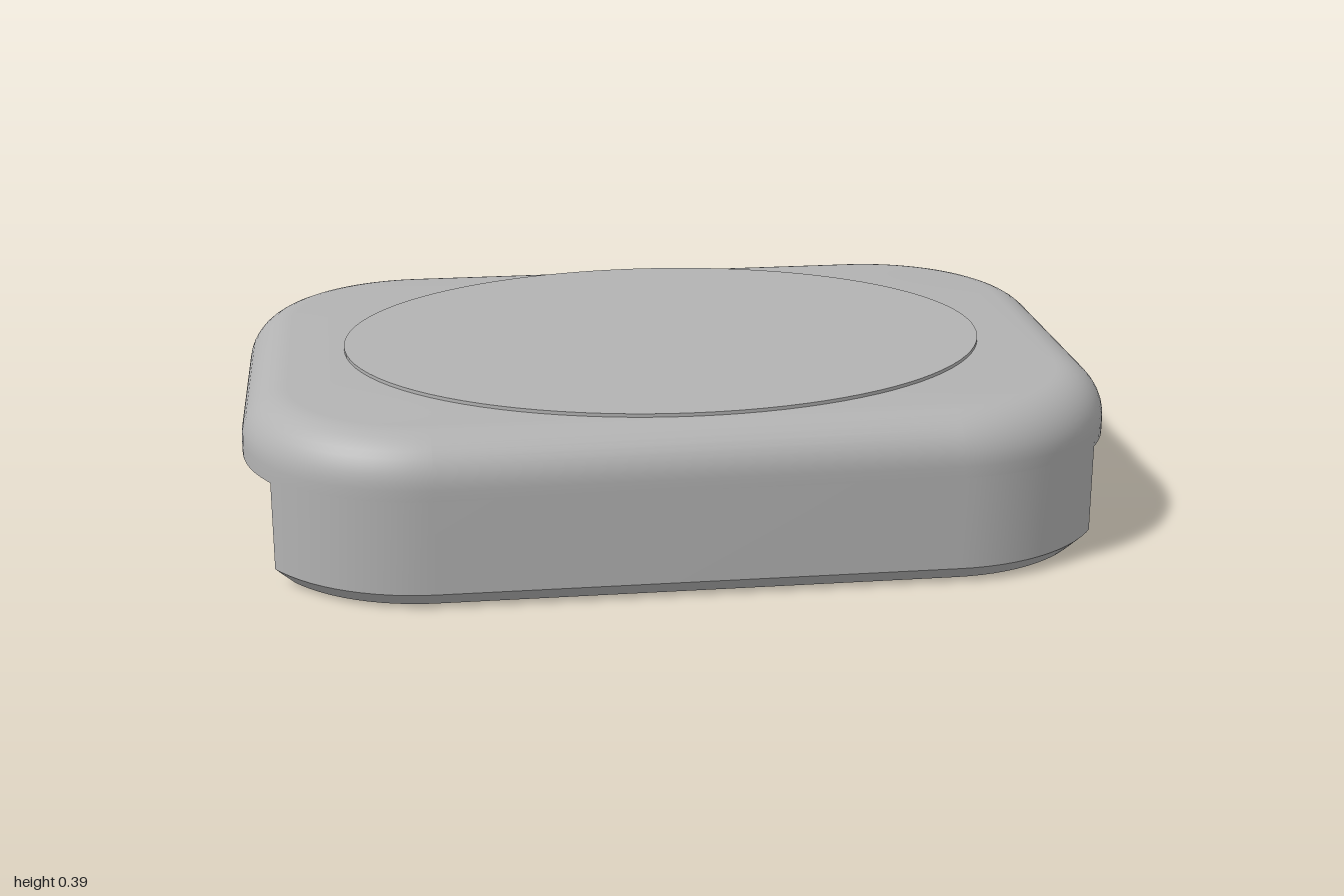
import * as THREE from 'three';
import { toCreasedNormals } from 'three/addons/utils/BufferGeometryUtils.js';

const STRAIGHT_X = 0.58, STRAIGHT_Z = 0.27, RADIUS = 0.42, STEPS = 20;

// Half width of the rounded outline at depth z, shrunk by inset
function halfWidth(z, inset) {
  const r = RADIUS - inset;
  const d = Math.max(0, Math.abs(z) - STRAIGHT_Z);
  return STRAIGHT_X + Math.sqrt(Math.max(0, r * r - d * d));
}

// Closed loop around the outline, cut off at zMin and zMax
function outline(y, inset, zMin, zMax) {
  const right = [];
  for (const s of [-1, 1]) {
    for (let i = 0; i <= STEPS; i++) {
      const a = (s < 0 ? STEPS - i : i) / STEPS * Math.PI / 2;
      const raw = s * (STRAIGHT_Z + (RADIUS - inset) * Math.sin(a));
      const z = Math.min(zMax, Math.max(zMin, raw));
      right.push(new THREE.Vector3(halfWidth(z, inset), y, z));
    }
  }
  const left = right.map(p => new THREE.Vector3(-p.x, p.y, p.z)).reverse();
  return right.concat(left);
}

// Solid through a stack of [height, inset] levels
function loft(levels, zMin = -1, zMax = 1) {
  const loops = levels.map(([y, inset]) => outline(y, inset, zMin, zMax));
  const pos = [], n = loops[0].length;
  const tri = (a, b, c) => {
    const area = b.clone().sub(a).cross(c.clone().sub(a)).length();
    if (area > 1e-9) for (const p of [a, b, c]) pos.push(p.x, p.y, p.z);
  };
  for (let k = 0; k + 1 < loops.length; k++) {
    const lo = loops[k], hi = loops[k + 1];
    for (let i = 0; i < n; i++) {
      const j = (i + 1) % n;
      tri(lo[i], hi[i], lo[j]);
      tri(lo[j], hi[i], hi[j]);
    }
  }
  const bottom = loops[0], top = loops[loops.length - 1];
  for (let i = 0; i + 1 < n / 2; i++) {
    const l = n - 1 - i;
    tri(bottom[i], bottom[i + 1], bottom[l - 1]);
    tri(bottom[i], bottom[l - 1], bottom[l]);
    tri(top[i], top[l - 1], top[i + 1]);
    tri(top[i], top[l], top[l - 1]);
  }
  const geo = new THREE.BufferGeometry();
  geo.setAttribute('position', new THREE.Float32BufferAttribute(pos, 3));
  return toCreasedNormals(geo, 0.5);
}

export function createModel() {
  const model = new THREE.Group();
  const grey = new THREE.MeshStandardMaterial({ color: 0xb2b2b2 });
  grey.name = 'grey plastic';

  const add = (name, geo) => {
    const mesh = new THREE.Mesh(geo, grey);
    mesh.name = name;
    model.add(mesh);
    return mesh;
  };
  const box = (name, x0, x1, y0, y1, z0, z1) =>
    add(name, new THREE.BoxGeometry(x1 - x0, y1 - y0, z1 - z0))
      .position.set((x0 + x1) / 2, (y0 + y1) / 2, (z0 + z1) / 2);

  // Top slab with a rounded upper edge
  const bevel = 0.11, topY = 0.386;
  const levels = [[0.25, 0]];
  for (let i = 0; i <= 10; i++) {
    const a = i / 10 * Math.PI / 2;
    levels.push([topY - bevel + bevel * Math.sin(a), bevel * (1 - Math.cos(a))]);
  }
  add('topSlab', loft(levels));
  add('undersideStep', loft([[0.24, 0], [0.25, 0]], -0.05, 0.5));

  // Front and back skirts with chamfered feet
  const skirt = [[0, 0.035], [0.035, 0], [0.25, 0]];
  add('frontSkirt', loft(skirt, 0.5, 1));
  add('backSkirt', loft(skirt, -1, -0.56));

  // Raised oval pad on the top
  const pad = add('ovalPad', new THREE.CylinderGeometry(1, 1, 0.008, 96));
  pad.scale.set(0.765, 1, 0.594);
  pad.position.y = topY + 0.004;

  // Slotted rail: front wall, back wall and central bridge
  box('railFrontWall', -0.88, 0.88, 0, 0.25, -0.45, -0.4);
  box('railBackWall', -0.88, 0.88, 0, 0.25, -0.56, -0.52);
  box('railBridge', -0.1, 0.1, 0, 0.25, -0.52, -0.45);

  // Chamfered tab profile in (-z, y)
  const tab = new THREE.Shape([
    [0.4, 0], [0.4, 0.21], [0.32, 0.21], [0.32, 0.022], [0.342, 0],
  ].map(p => new THREE.Vector2(...p)));

  for (const s of [-1, 1]) {
    const side = s > 0 ? 'left' : 'right';
    // Rail end blocks that stick out past the corners
    box(side + 'EndBlock', s > 0 ? 0.86 : -0.93, s > 0 ? 0.93 : -0.86, 0, 0.265, -0.565, -0.4);
    // Middle tabs on the rail, with a gap between them
    const geo = new THREE.ExtrudeGeometry(tab, { depth: 0.18, bevelEnabled: false });
    geo.rotateY(Math.PI / 2);
    geo.translate(s > 0 ? 0.06 : -0.24, 0, 0);
    add(side + 'RailTab', geo);
  }
  return model;
}
